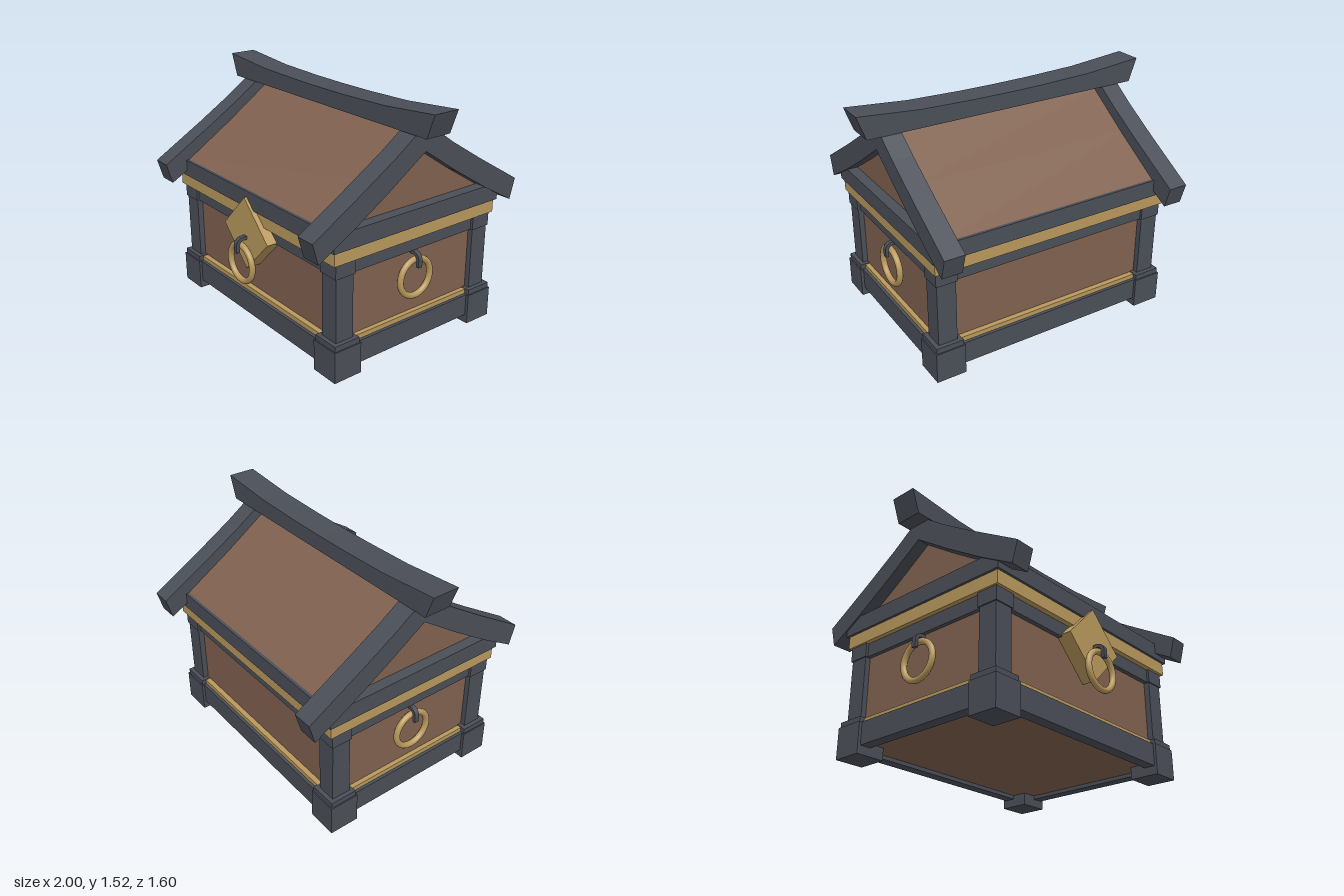
import * as THREE from 'three';

const dark = new THREE.MeshStandardMaterial({ color: 0x4a4e57 });
const wood = new THREE.MeshStandardMaterial({ color: 0x80614f });
const gold = new THREE.MeshStandardMaterial({ color: 0xb8985c });

export function createModel() {
  const model = new THREE.Group();
  model.name = 'chest';

  const add = (name, geometry, material, parent = model) => {
    const mesh = new THREE.Mesh(geometry, material);
    mesh.name = name;
    parent.add(mesh);
    return mesh;
  };

  // Box given by its minimum and maximum corners
  const box = (name, material, [x0, y0, z0], [x1, y1, z1], parent) => {
    const mesh = add(name, new THREE.BoxGeometry(x1 - x0, y1 - y0, z1 - z0), material, parent);
    mesh.position.set((x0 + x1) / 2, (y0 + y1) / 2, (z0 + z1) / 2);
    return mesh;
  };
  // Box centred on the vertical axis, by half sizes
  const slab = (name, material, x, y0, y1, z) => box(name, material, [-x, y0, -z], [x, y1, z]);

  // Extrusion of a (z, y) outline along x, from x0 to x1
  const extrudeX = (name, material, points, x0, x1) => {
    const shape = new THREE.Shape(points.map(([z, y]) => new THREE.Vector2(-z, y)));
    const geometry = new THREE.ExtrudeGeometry(shape, { depth: x1 - x0, bevelEnabled: false });
    geometry.rotateY(Math.PI / 2).translate(x0, 0, 0);
    return add(name, geometry, material);
  };
  const mirrored = (half) => half.map(([z, y]) => [-z, y]).reverse();

  // Body and horizontal bands
  slab('body', wood, 0.775, 0.08, 0.74, 0.57);
  slab('upperRail', dark, 0.8, 0.64, 0.73, 0.6);
  slab('goldBand', gold, 0.83, 0.73, 0.815, 0.635);
  slab('roofBase', dark, 0.845, 0.815, 0.925, 0.65);

  // Base rails with gold strips, on all four sides
  for (const s of [-1, 1]) {
    const zRail = box('baseRail', dark, [-0.7, 0.055, 0.55], [0.7, 0.2, 0.625]);
    const zStrip = box('baseStrip', gold, [-0.7, 0.2, 0.55], [0.7, 0.23, 0.605]);
    const xRail = box('baseRail', dark, [0.75, 0.055, -0.5], [0.825, 0.2, 0.5]);
    const xStrip = box('baseStrip', gold, [0.75, 0.2, -0.5], [0.805, 0.23, 0.5]);
    for (const m of [zRail, zStrip]) m.position.z *= s;
    for (const m of [xRail, xStrip]) m.position.x *= s;
  }

  // Corner posts with stepped feet and caps
  for (const sx of [-1, 1]) {
    for (const sz of [-1, 1]) {
      const corner = new THREE.Group();
      corner.name = 'cornerPost';
      box('foot', dark, [-0.0975, 0, -0.0975], [0.0975, 0.2, 0.0975], corner);
      box('footStep', dark, [-0.09, 0.2, -0.09], [0.09, 0.235, 0.09], corner);
      box('post', dark, [-0.0625, 0.235, -0.0625], [0.0625, 0.64, 0.0625], corner);
      box('cap', dark, [-0.07, 0.64, -0.07], [0.07, 0.73, 0.07], corner);
      corner.position.set(sx * 0.7475, 0, sz * 0.5450);
      model.add(corner);
    }
  }

  // Roof body with its gables
  const slope = [[0.63, 0.925], [0.3, 1.137]];
  extrudeX('roof', wood, [...slope, [0, 1.345], ...mirrored(slope)], -0.775, 0.775);

  // Gable rafters, a slightly bowed chevron at each end
  const outer = [[0.8, 0.923], [0.454, 1.13], [0.218, 1.278], [0.09, 1.368]];
  const inner = [[0.762, 0.79], [0.527, 0.923], [0.26, 1.09]];
  const chevron = [
    ...outer, [0, 1.43], ...mirrored(outer),
    ...inner.map(([z, y]) => [-z, y]), [0, 1.265], ...inner.slice().reverse(),
  ];
  extrudeX('rafter', dark, chevron, 0.725, 0.855);
  extrudeX('rafter', dark, chevron, -0.855, -0.725);

  // Ridge beam with upswept ends
  const ridge = new THREE.Shape([
    [-0.945, 1.375], [0.945, 1.375], [1, 1.525], [0.6, 1.49], [0.25, 1.48],
    [0, 1.478], [-0.25, 1.48], [-0.6, 1.49], [-1, 1.525],
  ].map(([x, y]) => new THREE.Vector2(x, y)));
  const ridgeGeometry = new THREE.ExtrudeGeometry(ridge, { depth: 0.18, bevelEnabled: false });
  add('ridgeBeam', ridgeGeometry.translate(0, 0, -0.09), dark);

  // Diamond plate on the front
  const plate = add('diamondPlate', new THREE.BoxGeometry(0.335, 0.335, 0.1), gold);
  plate.rotation.z = Math.PI / 4;
  plate.position.set(0, 0.65, 0.618);

  // Ring handle hanging from a curved staple; faces +z before turning
  const handle = (name, x, z, turn) => {
    const group = new THREE.Group();
    group.name = name;
    add('ring', new THREE.TorusGeometry(0.12, 0.02, 12, 40), gold, group).position.y = 0.465;
    const hook = new THREE.Shape();
    hook.moveTo(-0.06, 0.637);
    hook.lineTo(0, 0.637);
    hook.absarc(-0.01, 0.587, 0.05, Math.PI / 2, 0, true);
    hook.lineTo(0.04, 0.54);
    hook.lineTo(0.018, 0.54);
    hook.lineTo(0.018, 0.587);
    hook.absarc(-0.01, 0.587, 0.028, 0, Math.PI / 2, false);
    hook.lineTo(-0.06, 0.615);
    const geometry = new THREE.ExtrudeGeometry(hook, { depth: 0.03, bevelEnabled: false, curveSegments: 8 });
    geometry.translate(0, 0, -0.015).rotateY(-Math.PI / 2);
    add('staple', geometry, dark, group);
    group.position.set(x, 0, z);
    group.rotation.y = turn;
    model.add(group);
  };
  handle('frontHandle', 0, 0.705, 0);
  handle('leftHandle', 0.81, 0, Math.PI / 2);
  handle('rightHandle', -0.81, 0, -Math.PI / 2);

  return model;
}
